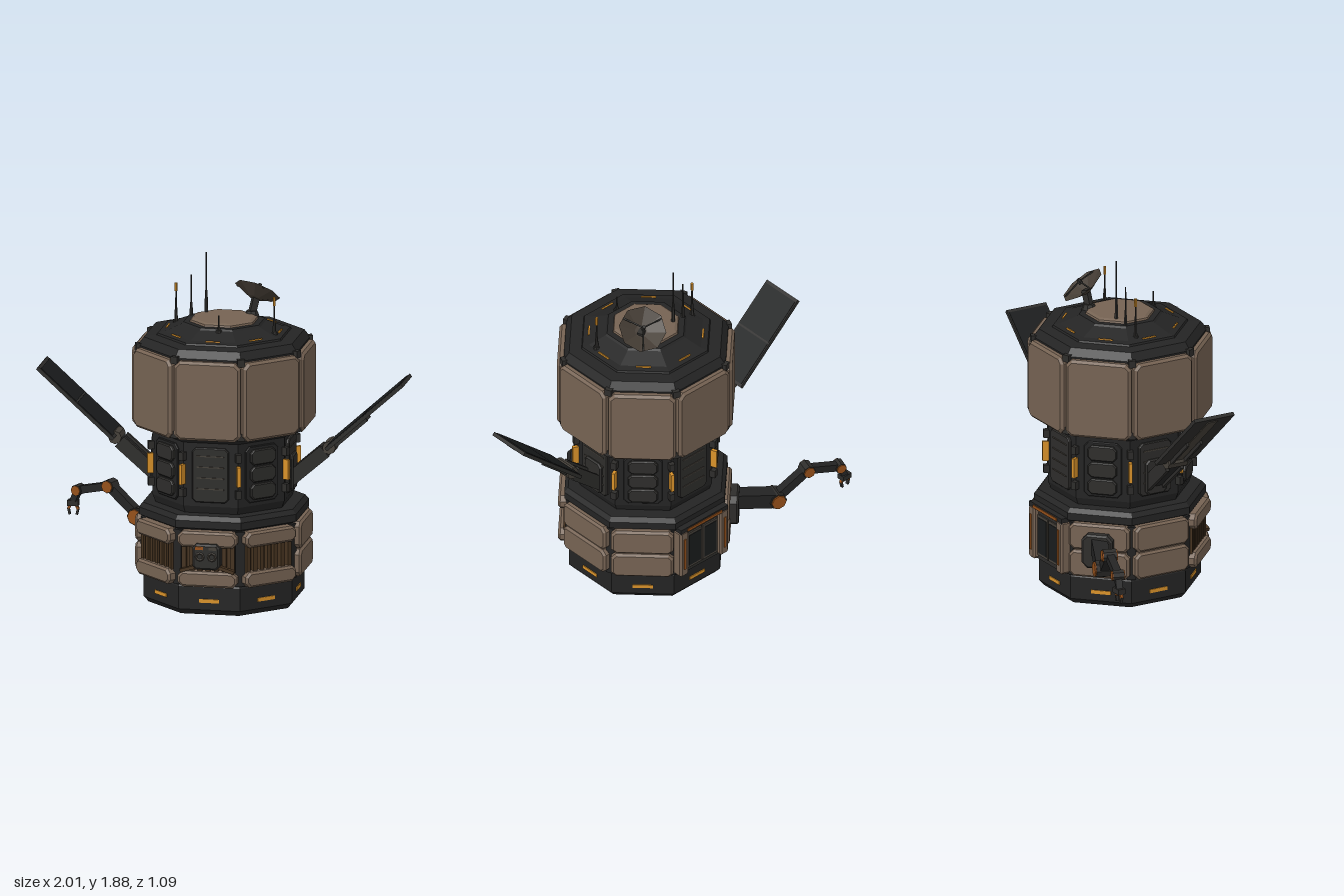
import * as THREE from 'three';

const mat = (name, color, side = THREE.FrontSide) => {
  const m = new THREE.MeshStandardMaterial({ color, side });
  m.name = name;
  return m;
};

export function createModel() {
  const hullMat = mat('dark hull', 0x242424);
  const trimMat = mat('dark trim', 0x2e2d2b);
  const plateMat = mat('tan plating', 0x766353);
  const ribMat = mat('brown ribs', 0x45321f);
  const lightMat = mat('amber light', 0xd9922a);
  const rustMat = mat('rust orange', 0x95501a);
  const greyMat = mat('warm grey metal', 0x46413a);
  const dishMat = mat('dish metal', 0x443c34, THREE.DoubleSide);
  const glassMat = mat('black glass', 0x1a1c1d);

  const CZ = 0.035;                       // hull axis
  const K = 1 / Math.cos(Math.PI / 8);    // apothem to corner radius
  const root = new THREE.Group();
  const hull = new THREE.Group();
  hull.name = 'hull';
  hull.position.z = CZ;
  root.add(hull);

  // Faceted mesh with a name and position
  const add = (parent, name, geo, material, x = 0, y = 0, z = 0) => {
    const g = geo.index ? geo.toNonIndexed() : geo;
    g.computeVertexNormals();
    const m = new THREE.Mesh(g, material);
    m.name = name;
    m.position.set(x, y, z);
    parent.add(m);
    return m;
  };
  const box = (parent, name, material, w, h, d, x, y, z) =>
    add(parent, name, new THREE.BoxGeometry(w, h, d), material, x, y, z);
  const octagon = (profile) => new THREE.LatheGeometry(
    profile.map(([r, y]) => new THREE.Vector2(r * K, y)), 8, Math.PI / 8);
  // Plate with cut corners and a bevelled rim, back at z = 0
  const plateGeo = (w, h, d, c, b = 0.01) => {
    const x = w / 2, y = h / 2;
    const s = new THREE.Shape([[-x + c, -y], [x - c, -y], [x, -y + c], [x, y - c],
      [x - c, y], [-x + c, y], [-x, y - c], [-x, -y + c]].map(p => new THREE.Vector2(...p)));
    return new THREE.ExtrudeGeometry(s, { depth: d - 2 * b, bevelSize: b, bevelThickness: b,
      bevelOffset: -b, bevelSegments: 1 }).translate(0, 0, b);
  };
  // Box beam between two points
  const beam = (parent, name, material, a, b, w, h) => {
    const A = new THREE.Vector3(...a), B = new THREE.Vector3(...b);
    const m = new THREE.Mesh(new THREE.BoxGeometry(w, h, A.distanceTo(B)), material);
    m.name = name;
    m.position.copy(A).lerp(B, 0.5);
    m.lookAt(B);
    parent.add(m);
    return m;
  };
  const turned = (name, angle) => {
    const g = new THREE.Group();
    g.name = name;
    g.rotation.y = angle;
    hull.add(g);
    return g;
  };

  // Main octagonal body and roof
  add(hull, 'bodyCore', octagon([[0, 0], [0.38, 0], [0.405, 0.03], [0.405, 0.155], [0.395, 0.17],
    [0.4, 0.47], [0.43, 0.485], [0.43, 0.525], [0.41, 0.55], [0.345, 0.55], [0.36, 0.59], [0.36, 0.94],
    [0.42, 0.99], [0.435, 1.0], [0.435, 1.42], [0.405, 1.462], [0.34, 1.47], [0.335, 1.48], [0.3, 1.487],
    [0.215, 1.525], [0.205, 1.535], [0.17, 1.535], [0, 1.535]]), hullMat);
  add(hull, 'roofCap', octagon([[0.175, 1.53], [0.17, 1.545], [0.155, 1.553], [0, 1.553]]), plateMat);

  // Eight sides
  for (let i = 0; i < 8; i++) {
    const f = turned('side' + i, i * Math.PI / 4);
    add(f, 'upperPlate', plateGeo(0.362, 0.435, 0.05, 0.03, 0.014), plateMat, 0, 1.193, 0.42);
    box(f, 'baseLight', lightMat, 0.11, 0.02, 0.008, 0, 0.08, 0.406);
    const rl = box(f, 'roofLight', lightMat, 0.08, 0.012, 0.008, 0, 1.485, 0.307);
    rl.rotation.x = -0.2;

    // Waist panels: louvred on the straight sides, three pads on the diagonals
    if (i % 2) {
      add(f, 'waistFrame', plateGeo(0.21, 0.31, 0.014, 0.025, 0.004), hullMat, 0, 0.765, 0.356);
      for (const y of [0.67, 0.765, 0.86])
        add(f, 'waistPad', plateGeo(0.16, 0.085, 0.03, 0.02, 0.006), trimMat, 0, y, 0.356);
    } else {
      add(f, 'waistPanel', plateGeo(0.2, 0.3, 0.022, 0.02, 0.005), trimMat, 0, 0.765, 0.354);
      for (const y of [0.69, 0.75, 0.81, 0.87])
        box(f, 'louvre', greyMat, 0.15, 0.006, 0.006, 0, y, 0.377);
    }

    // Lower armour
    if (i === 0 || i === 1 || i === 7) {
      for (const y of [0.21, 0.43])
        add(f, 'lowerArmour', plateGeo(0.325, 0.085, 0.07, 0.025, 0.012), plateMat, 0, y, 0.395);
      box(f, 'ribBacking', ribMat, 0.29, 0.15, 0.02, 0, 0.32, 0.4);
      for (let k = -3; k <= 3; k++)
        box(f, 'rib', ribMat, 0.024, 0.15, 0.045, k * 0.044, 0.32, 0.415);
    } else if (i !== 4) {
      for (const y of [0.25, 0.404])
        add(f, 'lowerArmour', plateGeo(0.335, 0.148, 0.06, 0.025, 0.012), plateMat, 0, y, 0.395);
    }

    // Corner posts, lights and clips
    const c = turned('corner' + i, (i + 0.5) * Math.PI / 4);
    box(c, 'cornerLight', lightMat, 0.018, 0.11, 0.04, 0, 0.765, 0.4);
    for (const y of [0.665, 0.865]) box(c, 'lightBracket', trimMat, 0.03, 0.045, 0.04, 0, y, 0.395);
    for (const y of [1.0, 1.41]) box(c, 'cornerClip', trimMat, 0.04, 0.04, 0.04, 0, y, 0.463);
    box(c, 'lowerPost', hullMat, 0.05, 0.3, 0.04, 0, 0.32, 0.43);
  }

  // Front control box
  const ctl = new THREE.Group();
  ctl.name = 'controlBox';
  hull.add(ctl);
  add(ctl, 'controlHousing', plateGeo(0.15, 0.14, 0.09, 0.02, 0.01), trimMat, 0, 0.342, 0.405);
  for (const s of [-1, 1]) {
    box(ctl, 'controlLamp', s < 0 ? rustMat : greyMat, 0.042, 0.018, 0.008, s * 0.036, 0.392, 0.495);
    add(ctl, 'gauge', new THREE.TorusGeometry(0.02, 0.006, 4, 8), greyMat, s * 0.033, 0.345, 0.496);
    const strut = box(ctl, 'controlStrut', ribMat, 0.1, 0.018, 0.03, s * 0.1, 0.27, 0.455);
    strut.rotation.z = -s * 0.3;
  }

  // Rear airlock
  const door = turned('airlock', Math.PI);
  box(door, 'doorFrame', trimMat, 0.3, 0.3, 0.06, 0, 0.325, 0.41);
  for (const s of [-1, 1]) {
    add(door, 'doorColumn', plateGeo(0.06, 0.3, 0.07, 0.012, 0.01), plateMat, s * 0.145, 0.325, 0.398);
    box(door, 'doorStripe', rustMat, 0.015, 0.2, 0.008, s * 0.145, 0.325, 0.469);
    box(door, 'doorLeaf', greyMat, 0.105, 0.23, 0.012, s * 0.056, 0.315, 0.442);
    box(door, 'doorPane', glassMat, 0.085, 0.2, 0.008, s * 0.056, 0.315, 0.447);
  }
  box(door, 'doorHood', hullMat, 0.34, 0.03, 0.08, 0, 0.478, 0.425);
  box(door, 'doorHoodStripe', rustMat, 0.25, 0.016, 0.008, 0, 0.475, 0.466);

  // Solar wings
  for (const s of [1, -1]) {
    const wing = turned('solarWing', s > 0 ? 0 : Math.PI);
    const a = [0.35, 0.665], b = [0.585, 0.87];
    beam(wing, 'wingArm', hullMat, [...a, 0], [...b, 0], 0.06, 0.05);
    for (const z of [-0.045, 0.045])
      beam(wing, 'wingArmRail', trimMat, [...a, z], [0.56, 0.848, z], 0.022, 0.075);
    add(wing, 'wingFoot', plateGeo(0.13, 0.2, 0.04, 0.02, 0.008), trimMat, 0.35, 0.72, 0).rotation.y = Math.PI / 2;
    add(wing, 'wingHinge', new THREE.CylinderGeometry(0.036, 0.036, 0.12, 8), greyMat,
      ...b, 0).rotation.x = Math.PI / 2;
    const p = new THREE.Group();
    p.name = 'solarPanel';
    p.position.set(...b, 0);
    p.rotation.z = 0.733;
    wing.add(p);
    box(p, 'panelFrame', trimMat, 0.56, 0.02, 0.245, 0.28, 0.006, 0);
    box(p, 'panelBack', greyMat, 0.5, 0.006, 0.06, 0.28, -0.006, 0);
    for (const x of [0.146, 0.414]) box(p, 'solarCells', glassMat, 0.258, 0.006, 0.23, x, 0.016, 0);
    for (const z of [-0.042, 0.042]) box(p, 'panelStay', trimMat, 0.26, 0.022, 0.014, 0.13, -0.013, z);
  }

  // Robotic arm on the rear diagonal
  const arm = new THREE.Group();
  arm.name = 'roboticArm';
  root.add(arm);
  const mount = turned('armMount', 5 * Math.PI / 4);
  add(mount, 'armMountPlate', plateGeo(0.17, 0.19, 0.08, 0.03), trimMat, 0, 0.34, 0.42);
  const P = [[-0.33, 0.375, -0.29], [-0.55, 0.325, -0.39], [-0.72, 0.465, -0.455],
    [-0.905, 0.42, -0.51], [-0.935, 0.35, -0.52]];
  [0.085, 0.05, 0.042, 0.035].forEach((w, i) => beam(arm, 'armLink', hullMat, P[i], P[i + 1], w, w));
  [0.042, 0.032, 0.027].forEach((r, i) => {
    const j = new THREE.Group();
    j.name = 'armJoint';
    j.position.set(...P[i + 1]);
    j.rotation.y = -0.32;
    arm.add(j);
    add(j, 'jointHub', new THREE.CylinderGeometry(r * 1.15, r * 1.15, r * 2.2, 8), trimMat).rotation.x = Math.PI / 2;
    add(j, 'jointCap', new THREE.CylinderGeometry(r, r, r * 2.6, 8), rustMat).rotation.x = Math.PI / 2;
  });
  box(arm, 'wristBlock', trimMat, 0.06, 0.03, 0.045, -0.935, 0.345, -0.52);
  for (const s of [-1, 1]) {
    const x = -0.935 + s * 0.027;
    beam(arm, 'finger', rustMat, [-0.935 + s * 0.012, 0.34, -0.52], [x, 0.31, -0.52], 0.016, 0.014);
    beam(arm, 'fingerTip', trimMat, [x, 0.315, -0.52], [x - s * 0.008, 0.28, -0.52], 0.016, 0.012);
  }

  // Antennas: x, z, foot height, top height, lit tip
  for (const [x, z, y0, y1, lit] of [[-0.275, -0.03, 1.48, 1.71, 1], [-0.195, -0.045, 1.5, 1.755, 0],
    [-0.115, -0.055, 1.53, 1.88, 0], [0.015, 0.25, 1.51, 1.61, 0], [0.29, 0.11, 1.48, 1.69, 1]]) {
    const h = y1 - y0, g = new THREE.Group();
    g.name = 'antenna';
    g.position.set(x, y0, z);
    root.add(g);
    add(g, 'antennaFoot', new THREE.CylinderGeometry(0.016, 0.022, 0.03, 8), trimMat, 0, 0.005, 0);
    add(g, 'antennaSleeve', new THREE.CylinderGeometry(0.007, 0.012, h * 0.4, 6), trimMat, 0, h * 0.2, 0);
    add(g, 'antennaRod', new THREE.CylinderGeometry(0.004, 0.006, h, 6), trimMat, 0, h / 2, 0);
    if (lit) add(g, 'antennaTip', new THREE.CylinderGeometry(0.008, 0.008, 0.045, 6), lightMat, 0, h - 0.022, 0);
  }

  // Dish on its pedestal, opening up and to the rear
  add(root, 'dishPedestal', new THREE.CylinderGeometry(0.03, 0.045, 0.04, 8), trimMat, 0.13, 1.545, -0.08);
  beam(root, 'dishPost', trimMat, [0.13, 1.55, -0.08], [0.15, 1.64, -0.09], 0.035, 0.035);
  const dish = new THREE.Group();
  dish.name = 'dish';
  dish.position.set(0.153, 1.662, -0.103);
  dish.quaternion.setFromUnitVectors(new THREE.Vector3(0, 1, 0), new THREE.Vector3(0.25, 0.8, -0.54).normalize());
  root.add(dish);
  add(dish, 'dishBowl', new THREE.LatheGeometry([[0, -0.04], [0.035, -0.036], [0.13, 0.008]]
    .map(p => new THREE.Vector2(...p)), 8), dishMat);
  add(dish, 'dishFeed', new THREE.CylinderGeometry(0.01, 0.014, 0.03, 6), trimMat, 0, 0.035, 0);
  for (let i = 0; i < 3; i++) {
    const t = i * Math.PI * 2 / 3 + 0.4;
    beam(dish, 'feedStrut', trimMat, [0, 0.035, 0], [0.12 * Math.sin(t), 0.003, 0.12 * Math.cos(t)], 0.007, 0.007);
  }
  return root;
}
